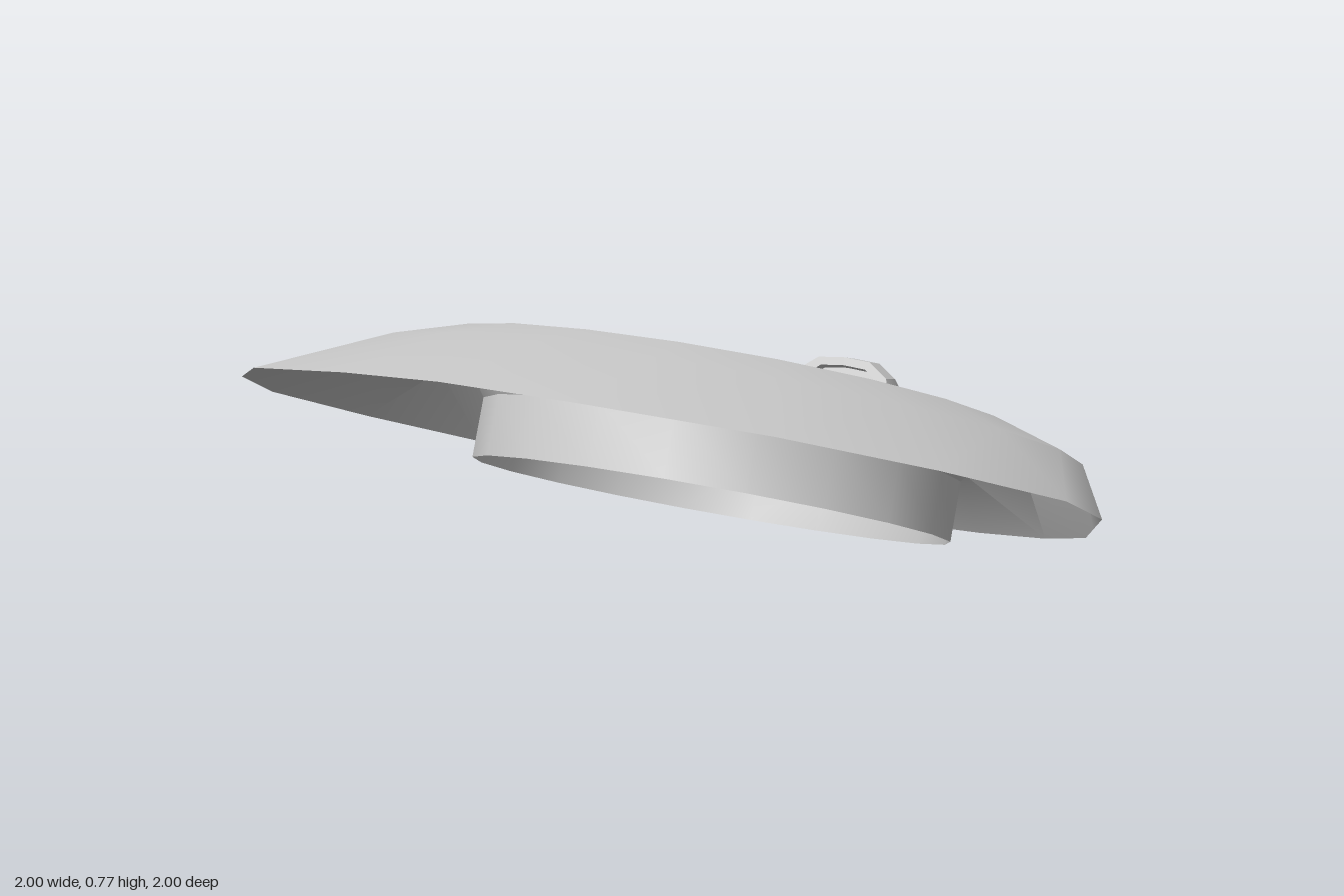
import * as THREE from 'three';
import { toCreasedNormals } from 'three/addons/utils/BufferGeometryUtils.js';

const material = new THREE.MeshStandardMaterial({ color: 0xcccccc, side: THREE.DoubleSide });

// Skins a list of rows, each holding the same number of [x, y, z] points
function loft(name, rows, crease) {
  const n = rows[0].length;
  const index = [];
  for (let i = 0; i < rows.length - 1; i++) {
    for (let j = 0; j < n - 1; j++) {
      const a = i * n + j, b = a + 1, d = a + n, c = d + 1;
      index.push(a, b, c, a, c, d);
    }
  }
  const geometry = new THREE.BufferGeometry();
  geometry.setAttribute('position', new THREE.Float32BufferAttribute(rows.flat(2), 3));
  geometry.setIndex(index);
  const mesh = new THREE.Mesh(toCreasedNormals(geometry, crease), material);
  mesh.name = name;
  return mesh;
}

// Twenty-sided ring around the collar axis
const SIDES = 20, AXIS_Z = -0.068;
function ring(radius, y) {
  return Array.from({ length: SIDES + 1 }, (_, i) => {
    const t = (i / SIDES) * Math.PI * 2;
    return [radius * Math.sin(t), y, AXIS_Z + radius * Math.cos(t)];
  });
}

// Egg-shaped rim: right half from front to back, then mirrored
const TILT = Math.atan(0.375);
function rim() {
  const half = [[0, 1], [0.27, 0.945], [0.62, 0.805], [0.85, 0.58], [1, 0.305], [0.96, 0],
    [0.83, -0.295], [0.7, -0.59], [0.51, -0.81], [0.27, -0.95], [0, -1]]
    .map(([x, z]) => [x, 0, z / Math.cos(TILT)]);
  const mirrored = half.slice(0, -1).reverse().map(([x, y, z]) => [-x, y, z]);
  return [...half, ...mirrored];
}

// Arch cross-section of the hood, from -x over the top to +x
function arch(halfWidth, base, top, z) {
  const half = [[1, 0], [0.95, 0.6], [0.77, 0.85], [0.45, 0.98]];
  const full = [...half.map(([x, y]) => [-x, y]), [0, 1], ...half.slice().reverse()];
  return full.map(([x, y]) => [0.014 + x * halfWidth, base + y * (top - base), z]);
}

export function createModel() {
  const model = new THREE.Group();
  model.name = 'tiltedCollar';

  const tilted = new THREE.Group();
  tilted.name = 'tiltedBody';
  tilted.rotation.x = -TILT;
  tilted.position.y = 0.375;
  model.add(tilted);

  // Sloping skirt and top band, open underneath
  tilted.add(loft('skirt', [rim(), ring(0.818, 0.141), ring(0.655, 0.196)], 0.5));

  // Funnel-shaped inner wall and the straight sleeve below it
  tilted.add(loft('innerWall', [ring(0.655, 0.196), ring(0.556, 0.059)], 0.5));
  tilted.add(loft('sleeve', [ring(0.556, 0.059), ring(0.556, -0.079)], 0.5));

  // Rounded hood at the back with a recessed front panel
  tilted.add(loft('hood', [
    arch(0, 0.085, 0.085, -0.612),
    arch(0.135, 0.085, 0.335, -0.612),
    arch(0.137, 0.085, 0.337, -0.586),
    arch(0.159, 0.08, 0.357, -0.586),
    arch(0.156, 0.1, 0.364, -0.643),
    arch(0.135, 0.15, 0.326, -0.742),
    arch(0.095, 0.15, 0.281, -0.79),
    arch(0, 0.16, 0.16, -0.8),
  ], 0.35));

  return model;
}
